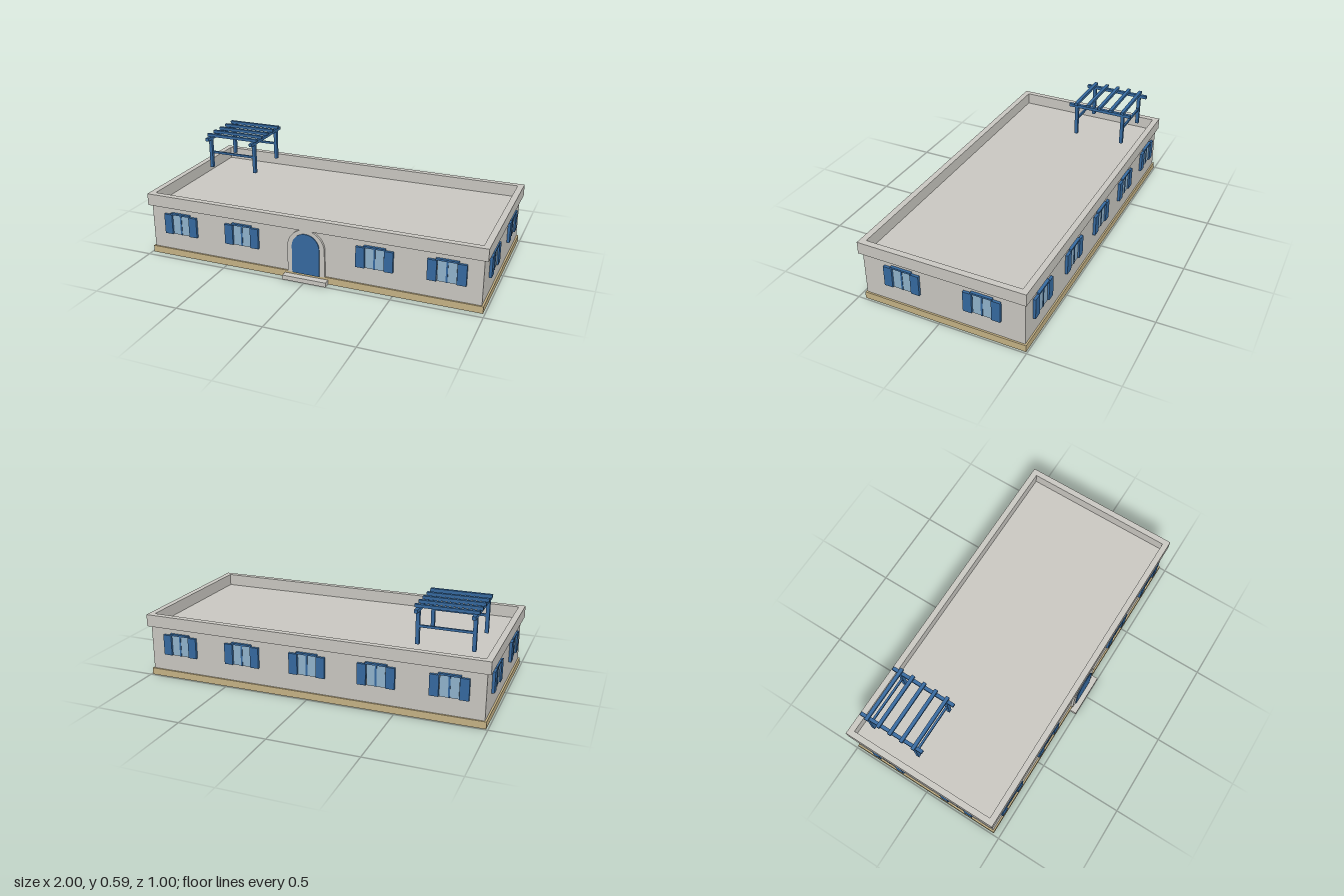
import * as THREE from 'three';

const mat = (name, color, extra = {}) => {
  const m = new THREE.MeshStandardMaterial({ color, ...extra });
  m.name = name;
  return m;
};

export function createModel() {
  const plaster = mat('plaster', 0xc9c7c1);
  const sand = mat('sandstone', 0xc5b285);
  const blue = mat('blue paint', 0x35699f);
  const glass = mat('window glass', 0x90b2cb);

  const root = new THREE.Group();
  root.name = 'flatRoofHouse';

  // Box given by its min and max corners
  const box = (parent, name, material, [x0, y0, z0], [x1, y1, z1]) => {
    const mesh = new THREE.Mesh(new THREE.BoxGeometry(x1 - x0, y1 - y0, z1 - z0), material);
    mesh.position.set((x0 + x1) / 2, (y0 + y1) / 2, (z0 + z1) / 2);
    mesh.name = name;
    parent.add(mesh);
    return mesh;
  };

  const zc = -0.016; // centre line of the building
  const wallX = 0.98, wallZ = 0.468;

  // Body
  box(root, 'plinth', sand, [-0.99, 0, zc - 0.477], [0.99, 0.04, zc + 0.477]);
  box(root, 'walls', plaster, [-wallX, 0.04, zc - wallZ], [wallX, 0.3, zc + wallZ]);

  // Parapet: rectangular ring standing on the wall top
  const rect = (Type, x, z) => new Type([[-x, -z], [x, -z], [x, z], [-x, z]].map(p => new THREE.Vector2(...p)));
  const ring = rect(THREE.Shape, 1, 0.483);
  ring.holes.push(rect(THREE.Path, 0.965, 0.448));
  const parapet = new THREE.Mesh(new THREE.ExtrudeGeometry(ring, { depth: 0.07, bevelEnabled: false }), plaster);
  parapet.rotation.x = -Math.PI / 2;
  parapet.position.set(0, 0.3, zc);
  parapet.name = 'parapet';
  root.add(parapet);

  // Shuttered window; local z = 0 lies on the wall and +z points outward
  const addWindow = (x, z, turn) => {
    const w = new THREE.Group();
    w.name = 'window';
    box(w, 'pane', glass, [-0.052, 0.14, -0.005], [0.052, 0.262, 0.007]);
    box(w, 'mullion', blue, [-0.005, 0.14, -0.005], [0.005, 0.262, 0.01]);
    box(w, 'lintel', blue, [-0.061, 0.261, -0.005], [0.061, 0.271, 0.016]);
    for (const s of [-1, 1]) {
      const c = s * 0.08;
      box(w, 'shutter', blue, [c - 0.025, 0.14, -0.005], [c + 0.025, 0.26, 0.0155]);
    }
    w.position.set(x, 0, z);
    w.rotation.y = turn;
    root.add(w);
  };
  for (let i = -2; i <= 2; i++) {
    if (i !== 0) addWindow(i * 0.395, zc + wallZ, 0);
    addWindow(i * 0.395, zc - wallZ, Math.PI);
  }
  for (const s of [-1, 1])
    for (const t of [-1, 1]) addWindow(s * wallX, zc + t * 0.233, s * Math.PI / 2);

  // Arched door with surround
  const addArch = (name, material, r, springY, z0, z1) => {
    const shape = new THREE.Shape();
    shape.moveTo(-r, 0.04);
    shape.lineTo(r, 0.04);
    shape.lineTo(r, springY);
    shape.absarc(0, springY, r, 0, Math.PI, false);
    shape.closePath();
    const geo = new THREE.ExtrudeGeometry(shape, { depth: z1 - z0, bevelEnabled: false, curveSegments: 12 });
    const mesh = new THREE.Mesh(geo, material);
    mesh.position.z = z0;
    mesh.name = name;
    root.add(mesh);
  };
  addArch('doorSurround', plaster, 0.11, 0.194, 0.445, 0.4655);
  addArch('door', blue, 0.081, 0.2, 0.46, 0.471);
  box(root, 'doorStep', plaster, [-0.13, 0, 0.455], [0.13, 0.026, 0.5]);

  // Roof pergola
  const pergola = new THREE.Group();
  pergola.name = 'pergola';
  root.add(pergola);
  const h = 0.01, px = [-0.885, -0.585], pz = [-0.385, -0.085];
  for (const x of px) {
    for (const z of pz) box(pergola, 'post', blue, [x - h, 0.37, z - h], [x + h, 0.552, z + h]);
    box(pergola, 'beam', blue, [x - h, 0.551, -0.435], [x + h, 0.57, -0.035]);
  }
  for (const z of pz) box(pergola, 'rail', blue, [px[0], 0.463, z - 0.006], [px[1], 0.476, z + 0.006]);
  for (let i = 0; i < 5; i++) {
    const z = pz[0] + i * 0.075;
    box(pergola, 'slat', blue, [-0.905, 0.57, z - h], [-0.565, 0.587, z + h]);
  }

  return root;
}
